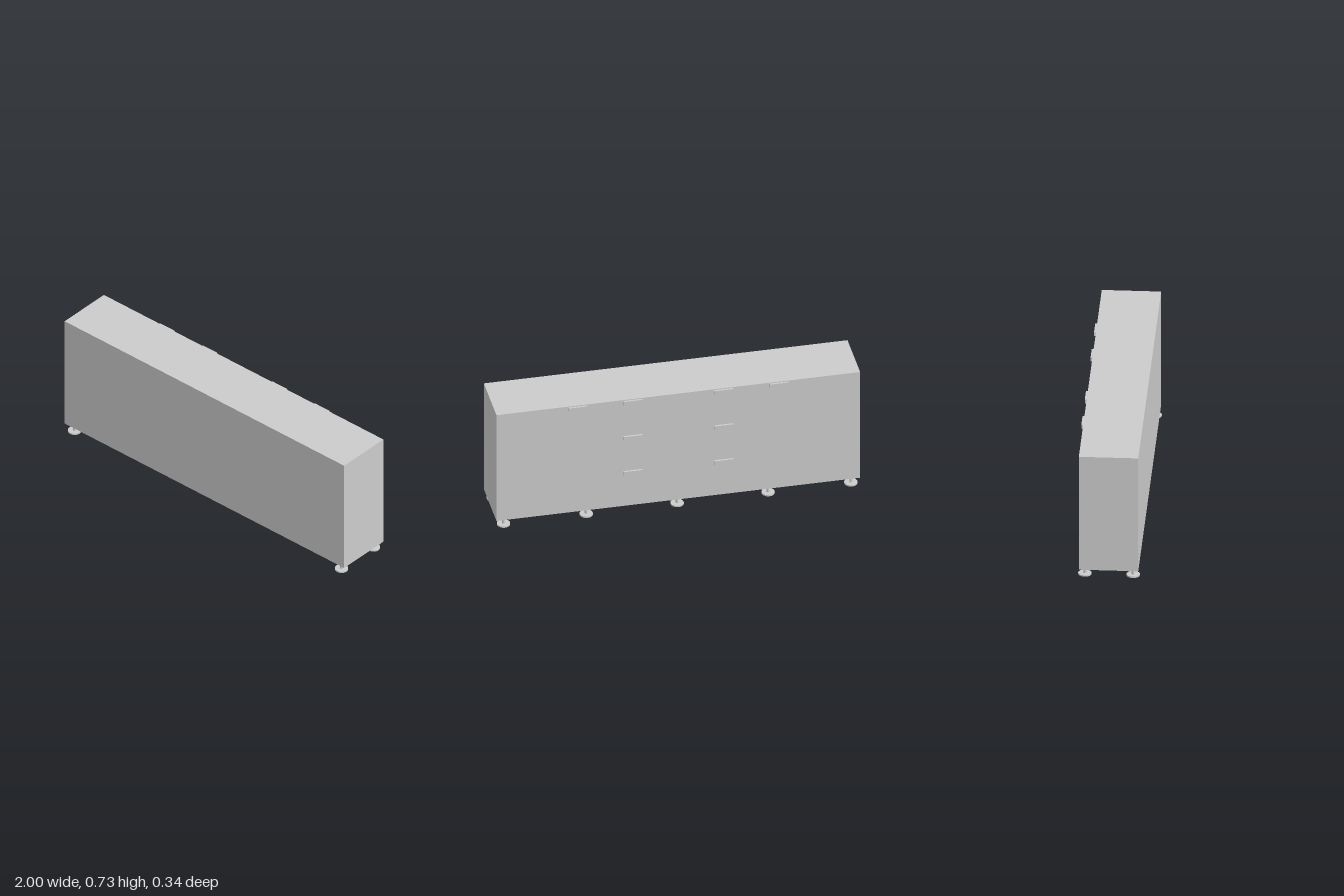
import * as THREE from 'three';

const material = new THREE.MeshStandardMaterial({ color: 0xcccccc });

function add(parent, name, geometry, x, y, z) {
  const mesh = new THREE.Mesh(geometry, material);
  mesh.name = name;
  mesh.position.set(x, y, z);
  parent.add(mesh);
  return mesh;
}

export function createModel() {
  const model = new THREE.Group();
  model.name = 'sideboard';

  const front = 0.163, back = -0.157;
  const depth = front - back, midZ = (front + back) / 2;
  const bottom = 0.046, slab = 0.72, top = 0.725;

  // Carcass and thin top panel
  add(model, 'carcass', new THREE.BoxGeometry(2, slab - bottom, depth), 0, (slab + bottom) / 2, midZ);
  add(model, 'topPanel', new THREE.BoxGeometry(2, top - slab, depth), 0, (top + slab) / 2, midZ);

  // Bar handles: three drawers in each inner column, one door on each outer side
  const handleGeometry = new THREE.BoxGeometry(0.104, 0.023, 0.011);
  const handles = new THREE.Group();
  handles.name = 'handles';
  model.add(handles);
  for (const side of [-1, 1]) {
    for (const y of [0.708, 0.482, 0.258]) {
      add(handles, 'drawerHandle', handleGeometry, side * 0.25, y, back - 0.0055);
    }
    add(handles, 'doorHandle', handleGeometry, side * 0.554, 0.708, back - 0.0055);
  }

  // Levelling feet: a round pad with a slim stem
  const padGeometry = new THREE.CylinderGeometry(0.036, 0.036, 0.008, 32);
  const stemGeometry = new THREE.CylinderGeometry(0.008, 0.008, bottom - 0.008, 24);
  const rows = [
    { z: 0.133, xs: [-0.955, 0.955] },
    { z: -0.127, xs: [-0.955, -0.5, 0, 0.5, 0.955] },
  ];
  for (const { z, xs } of rows) {
    for (const x of xs) {
      const foot = new THREE.Group();
      foot.name = 'foot';
      foot.position.set(x, 0, z);
      add(foot, 'footPad', padGeometry, 0, 0.004, 0);
      add(foot, 'footStem', stemGeometry, 0, (bottom + 0.008) / 2, 0);
      model.add(foot);
    }
  }

  return model;
}
